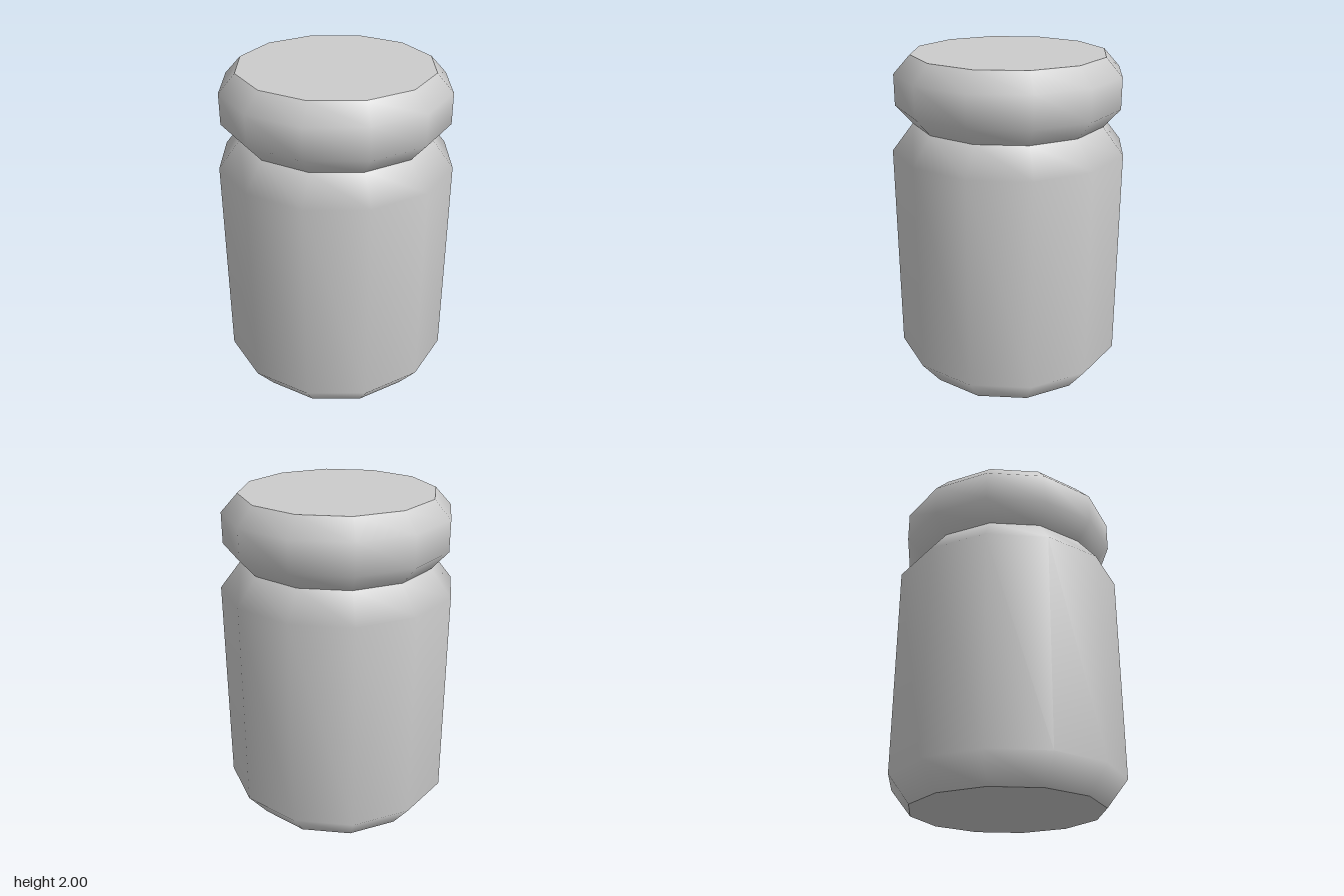
import * as THREE from 'three';

const SIDES = 12;

export function createModel() {
  const model = new THREE.Group();
  model.name = 'jar';
  const grey = new THREE.MeshStandardMaterial({ color: 0xcccccc });
  grey.name = 'light grey';

  // Smooth turned wall with sharp-edged flat ends; profile runs bottom to top
  function turnedPart(name, profile) {
    const part = new THREE.Group();
    part.name = name;
    const points = profile.map(([r, y]) => new THREE.Vector2(r, y));
    const wall = new THREE.Mesh(new THREE.LatheGeometry(points, SIDES), grey);
    wall.name = name + 'Wall';
    part.add(wall);
    const ends = [['Bottom', points[0], 1], ['Top', points[points.length - 1], -1]];
    for (const [label, p, turn] of ends) {
      const geometry = new THREE.CircleGeometry(p.x, SIDES).rotateX(turn * Math.PI / 2);
      const end = new THREE.Mesh(geometry, grey);
      end.name = name + label;
      end.position.y = p.y;
      part.add(end);
    }
    model.add(part);
  }

  // Body with chamfered base and shoulder
  turnedPart('body', [[0.575, 0], [0.7, 0.16], [0.7, 1.44], [0.575, 1.6]]);
  // Chamfered lid
  turnedPart('lid', [[0.575, 1.6], [0.673, 1.71], [0.673, 1.893], [0.575, 2]]);

  return model;
}
